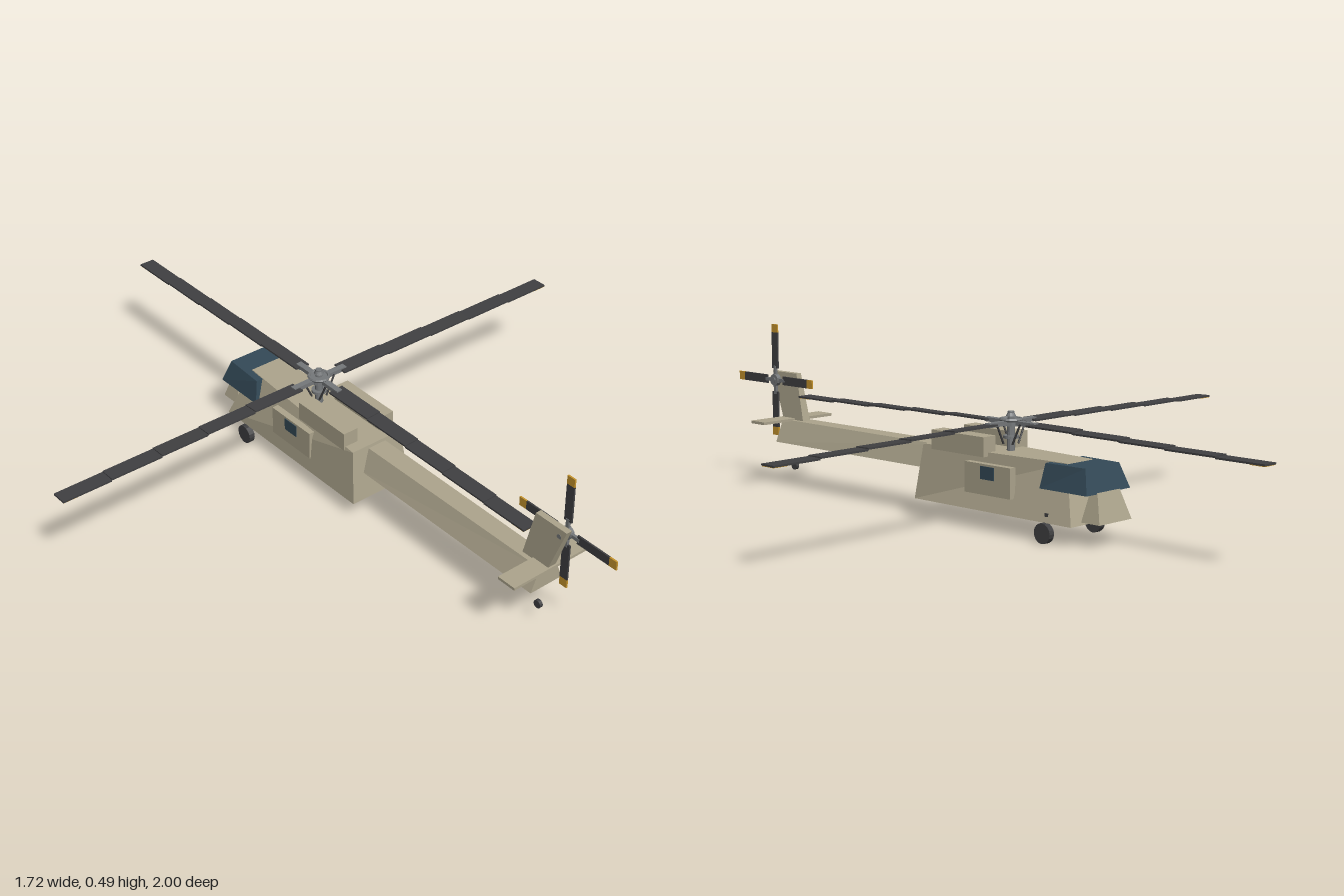
import * as THREE from 'three';

const mat = (color) => new THREE.MeshStandardMaterial({ color, flatShading: true });

export function createModel() {
  const model = new THREE.Group();
  const tan = mat(0xada58d), glass = mat(0x344a58), dark = mat(0x404042), gold = mat(0xc8962e), metal = mat(0x75787a);

  const add = (parent, name, geo, material, x = 0, y = 0, z = 0) => {
    const mesh = new THREE.Mesh(geo, material);
    mesh.name = name;
    mesh.position.set(x, y, z);
    parent.add(mesh);
    return mesh;
  };
  const group = (name, parent = model) => {
    const g = new THREE.Group();
    g.name = name;
    parent.add(g);
    return g;
  };
  const box = (parent, name, size, material, x, y, z) => add(parent, name, new THREE.BoxGeometry(...size), material, x, y, z);

  // Tapered block: each level is [y, rear z, rear half-width, front z, front half-width]
  const block = (name, low, high, material) => {
    const geo = new THREE.BoxGeometry(2, 2, 2);
    const p = geo.attributes.position;
    for (let i = 0; i < p.count; i++) {
      const [y, zr, wr, zf, wf] = p.getY(i) < 0 ? low : high;
      const rear = p.getZ(i) > 0;
      p.setXYZ(i, p.getX(i) * (rear ? wr : wf), y, rear ? zr : zf);
    }
    geo.computeVertexNormals();
    return add(model, name, geo, material);
  };

  // Fuselage, cockpit and tail
  block('fuselage', [0.055, 0.136, 0.1, -0.447, 0.1], [0.212, 0.115, 0.085, -0.39, 0.05], tan);
  block('cockpitGlass', [0.142, -0.325, 0.088, -0.49, 0.088], [0.21, -0.335, 0.075, -0.468, 0.068], glass);
  block('nose', [0.065, -0.452, 0.065, -0.515, 0.065], [0.145, -0.465, 0.045, -0.49, 0.045], tan);
  block('tailBoom', [0.136, 0.79, 0.055, 0.1, 0.055], [0.203, 0.79, 0.027, 0.1, 0.03], tan);
  block('tailFin', [0.195, 0.8, 0.014, 0.71, 0.014], [0.345, 0.855, 0.009, 0.745, 0.009], tan);
  box(model, 'stabilizer', [0.27, 0.008, 0.06], tan, 0, 0.204, 0.78);

  // Engines, doors and main wheels on both sides
  const wheel = (name, r, w, x, y, z) =>
    add(model, name, new THREE.CylinderGeometry(r, r, w, 16).rotateZ(Math.PI / 2), dark, x, y, z);
  for (const s of [1, -1]) {
    const side = s > 0 ? 'left' : 'right';
    box(model, side + 'Engine', [0.048, 0.055, 0.2], tan, s * 0.064, 0.228, -0.02);
    box(model, side + 'Door', [0.02, 0.085, 0.17], tan, s * 0.089, 0.1425, -0.145);
    box(model, side + 'DoorWindow', [0.02, 0.036, 0.052], glass, s * 0.091, 0.161, -0.145);
    wheel(side + 'Wheel', 0.028, 0.018, s * 0.103, 0.028, -0.356);
    box(model, side + 'WheelStrut', [0.01, 0.05, 0.012], dark, s * 0.09, 0.055, -0.356);
  }
  wheel('tailWheel', 0.012, 0.01, 0, 0.058, 0.767);

  // Main rotor: mast, hub, control rods and four stepped blades
  const rotor = group('mainRotor');
  rotor.position.set(0, 0.29, -0.14);
  add(rotor, 'mast', new THREE.CylinderGeometry(0.01, 0.012, 0.12, 12), metal, 0, -0.03, 0);
  add(rotor, 'hub', new THREE.CylinderGeometry(0.026, 0.026, 0.018, 16), metal);
  add(rotor, 'hubRing', new THREE.TorusGeometry(0.028, 0.005, 6, 20).rotateX(Math.PI / 2), metal, 0, 0.008, 0);
  add(rotor, 'hubCap', new THREE.CylinderGeometry(0.008, 0.014, 0.014, 12), metal, 0, 0.024, 0);
  add(rotor, 'swashPlate', new THREE.CylinderGeometry(0.022, 0.022, 0.008, 16), metal, 0, -0.04, 0);

  const stations = [0.075, 0.24, 0.4, 0.55, 0.71, 0.86];
  for (let i = 0; i < 4; i++) {
    const blade = group('mainBlade', rotor);
    blade.rotation.y = i * Math.PI / 2;
    box(blade, 'bladeGrip', [0.075, 0.012, 0.018], metal, 0.055, 0, 0);
    const rod = add(blade, 'controlRod', new THREE.CylinderGeometry(0.003, 0.003, 0.065, 6), dark, 0.031, -0.03, 0.012);
    rod.rotation.z = -0.45;
    for (let k = 0; k < 5; k++) {
      const a = stations[k], b = stations[k + 1];
      const part = box(blade, 'bladeSection', [b - a, 0.005, 0.046], dark, (a + b) / 2, -0.003 * k, 0);
      part.rotation.x = 0.07 - 0.02 * k;
    }
    box(blade, 'bladeTip', [0.045, 0.003, 0.044], gold, 0.8365, -0.0145, 0);
  }

  // Tail rotor on the left of the fin
  const tail = group('tailRotor');
  tail.position.set(0.02, 0.32, 0.83);
  add(tail, 'tailHub', new THREE.CylinderGeometry(0.018, 0.018, 0.014, 14).rotateZ(Math.PI / 2), metal);
  add(tail, 'tailShaft', new THREE.CylinderGeometry(0.008, 0.008, 0.04, 10).rotateZ(Math.PI / 2), metal, -0.01, 0, 0);
  for (let i = 0; i < 4; i++) {
    const blade = group('tailBlade', tail);
    blade.rotation.x = i * Math.PI / 2;
    box(blade, 'tailBladeGrip', [0.008, 0.035, 0.01], metal, 0, 0.026, 0);
    box(blade, 'tailBladeSection', [0.005, 0.11, 0.026], dark, 0, 0.091, 0);
    box(blade, 'tailBladeTip', [0.005, 0.025, 0.026], gold, 0, 0.1585, 0);
  }
  return model;
}
